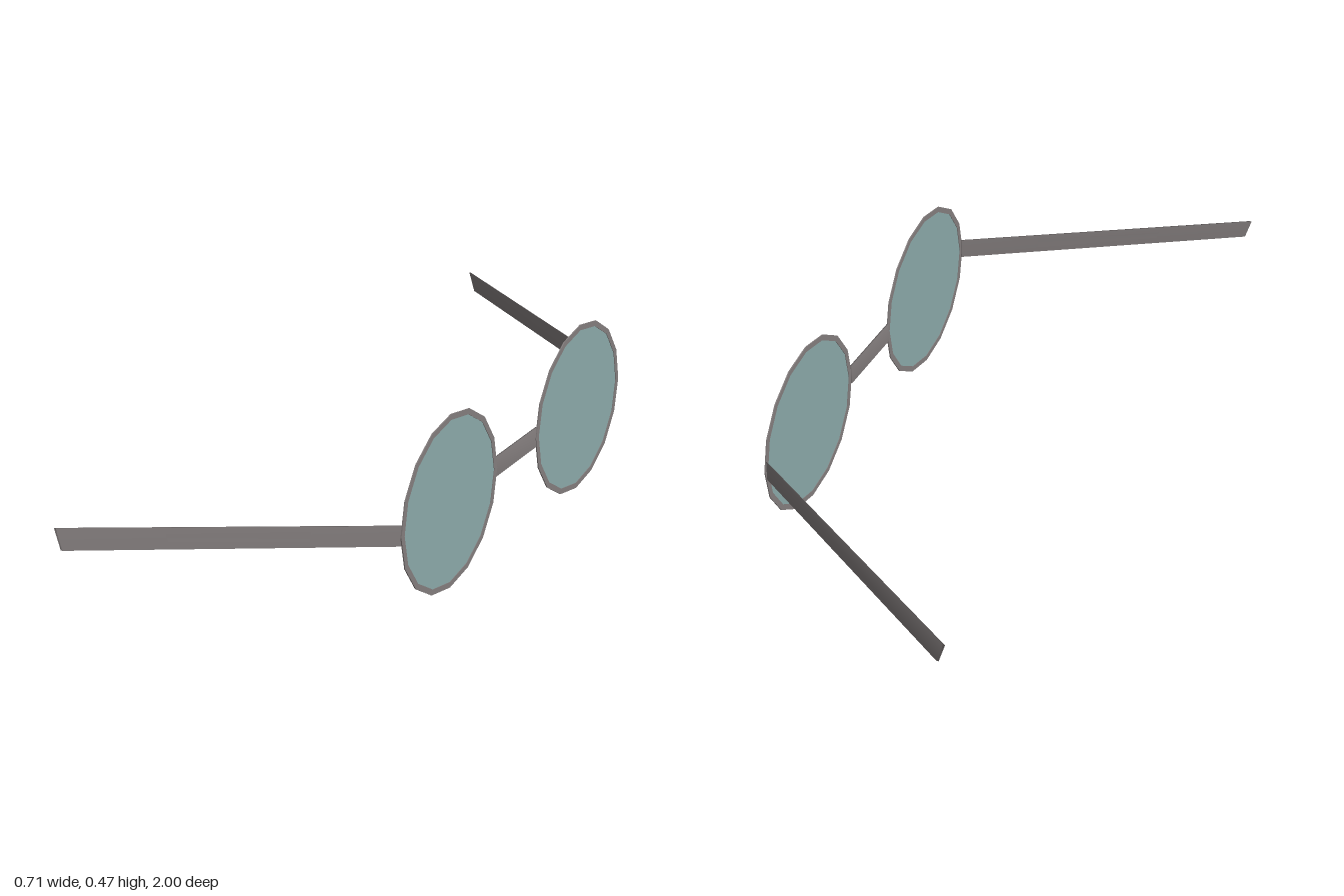
import * as THREE from 'three';

const FRONT = 0.35, LENS_Z = 0.338, LENS_Y = 0.235, R = 0.235, RIM = 0.015, SIDES = 16;

export function createModel() {
  const metal = new THREE.MeshStandardMaterial({ color: 0x857f7f, side: THREE.DoubleSide });
  metal.name = 'grey metal';
  const glass = new THREE.MeshStandardMaterial({ color: 0x8dabab, side: THREE.DoubleSide });
  glass.name = 'teal glass';

  const model = new THREE.Group();
  model.name = 'roundSpectacles';
  const add = (name, geometry, material) => {
    const mesh = new THREE.Mesh(geometry, material);
    mesh.name = name;
    model.add(mesh);
    return mesh;
  };

  // Regular polygon outline with a corner at the top
  const polygon = (r) => Array.from({ length: SIDES }, (_, i) => {
    const a = (i / SIDES) * Math.PI * 2;
    return new THREE.Vector2(Math.sin(a) * r, Math.cos(a) * r);
  });

  // Thin strap between two four-cornered ends, with corners shared so the shading is soft
  const strap = (start, end) => {
    const g = new THREE.BufferGeometry();
    g.setAttribute('position', new THREE.Float32BufferAttribute([...start, ...end].flat(), 3));
    const index = [0, 2, 1, 0, 3, 2, 4, 5, 6, 4, 6, 7];
    for (let i = 0; i < 4; i++) {
      const j = (i + 1) % 4;
      index.push(i, j, j + 4, i, j + 4, i + 4);
    }
    g.setIndex(index);
    g.computeVertexNormals();
    return g;
  };

  // One end of a strap: bottom and top edges, each with its own x, thickness t along x
  const section = (xBottom, xTop, z, t) => [
    [xBottom - t, 0.21, z], [xBottom, 0.21, z], [xTop, 0.265, z], [xTop - t, 0.265, z],
  ];

  for (const [side, s] of [['right', 1], ['left', -1]]) {
    // Flat faceted rim
    const shape = new THREE.Shape(polygon(R));
    shape.holes.push(new THREE.Path(polygon(R - RIM).reverse()));
    const rimGeometry = new THREE.ExtrudeGeometry(shape, { depth: 0.003, bevelEnabled: false });
    const rim = add(side + 'Rim', rimGeometry, metal);
    rim.rotation.y = Math.PI / 2;
    rim.position.set(FRONT - 0.0015, LENS_Y, s * LENS_Z);

    // Lens pane
    const lens = add(side + 'Lens', new THREE.ShapeGeometry(new THREE.Shape(polygon(R - RIM))), glass);
    lens.rotation.y = Math.PI / 2;
    lens.position.set(FRONT, LENS_Y, s * LENS_Z);

    // Splayed temple arm, slightly twisted towards its tip
    const hinge = section(FRONT, FRONT, s * 0.565, 0.004);
    const tip = section(-0.332, -0.349, s, 0.006);
    add(side + 'Temple', s > 0 ? strap(hinge, tip) : strap(tip, hinge), metal);
  }

  // Bridge between the rims
  add('bridge', strap(section(FRONT, FRONT, -0.108, 0.004), section(FRONT, FRONT, 0.108, 0.004)), metal);

  return model;
}
